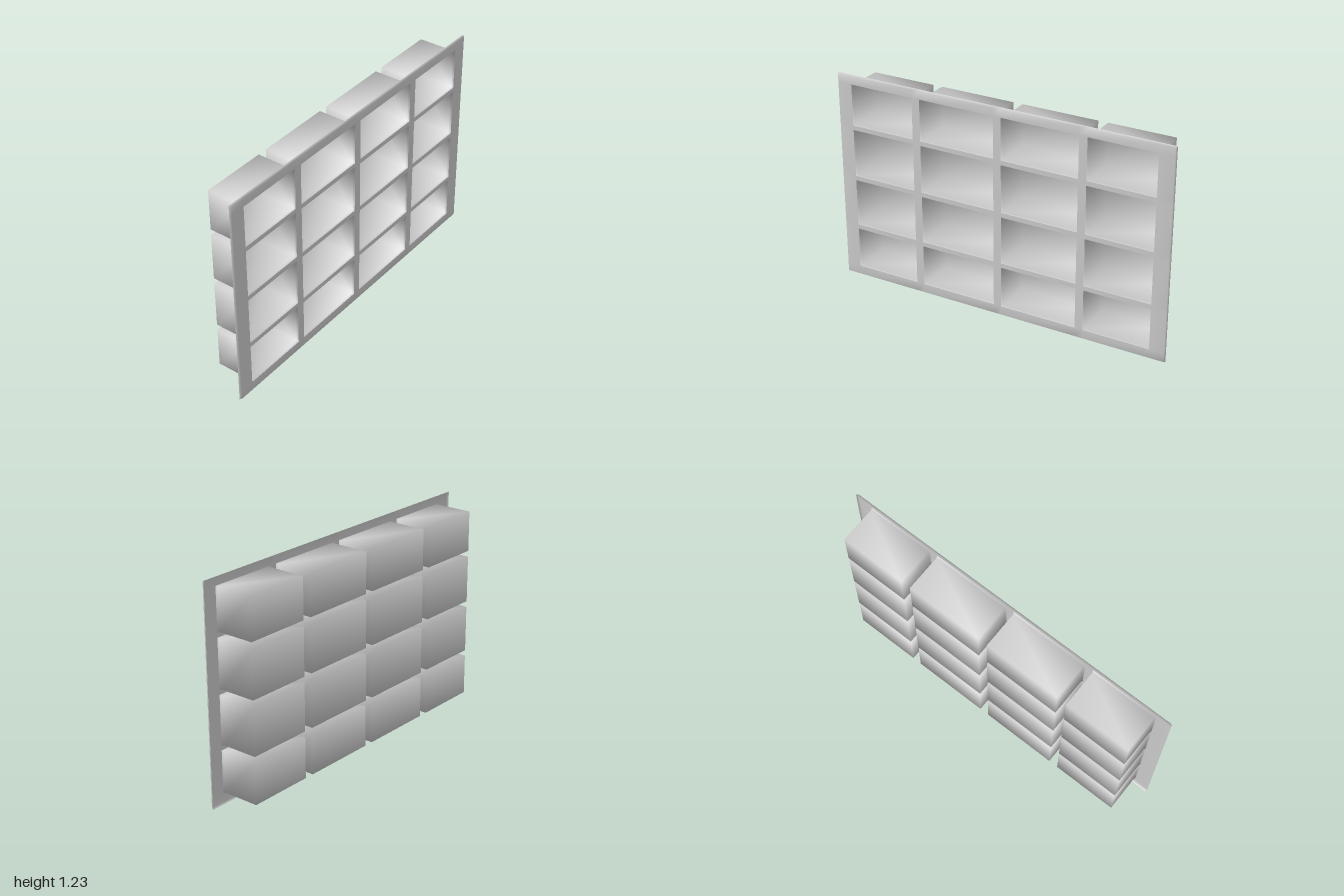
import * as THREE from 'three';

const FRONT = 0.112, LIP = 0.1, BACK = -0.112, HEIGHT = 1.23;
const FLARE = 0.004; // pocket mouths open slightly wider than their walls

// wall positions of the pocket columns and rows
const columns = [[-0.905, -0.525], [-0.47, -0.027], [0.027, 0.47], [0.525, 0.905]];
const rows = [[0.062, 0.295], [0.33, 0.6], [0.635, 0.905], [0.94, 1.173]];

const material = new THREE.MeshStandardMaterial({ color: 0xcccccc, side: THREE.DoubleSide });

function buildMesh(name, positions, indices) {
  const geometry = new THREE.BufferGeometry();
  geometry.setAttribute('position', new THREE.Float32BufferAttribute(positions, 3));
  geometry.setIndex(indices);
  geometry.computeVertexNormals();
  const mesh = new THREE.Mesh(geometry, material);
  mesh.name = name;
  return mesh;
}

// grid lines: outer lip, edge of the face, then both sides of each opening
function gridLines(min, max, spans) {
  const openings = spans.flatMap(([a, b]) => [a - FLARE, b + FLARE]);
  return [min, min + 0.006, ...openings, max - 0.006, max];
}

// thin face sheet with openings and a lip turned back around its edge
function createFrame() {
  const xs = gridLines(-1, 1, columns), ys = gridLines(0, HEIGHT, rows);
  const nx = xs.length, ny = ys.length;
  const positions = [], indices = [];
  for (let j = 0; j < ny; j++) {
    for (let i = 0; i < nx; i++) {
      const onLip = i === 0 || j === 0 || i === nx - 1 || j === ny - 1;
      positions.push(xs[i], ys[j], onLip ? LIP : FRONT);
    }
  }
  const isOpening = (k, n) => k >= 2 && k < n - 2 && k % 2 === 0;
  for (let j = 0; j < ny - 1; j++) {
    for (let i = 0; i < nx - 1; i++) {
      if (isOpening(i, nx - 1) && isOpening(j, ny - 1)) continue;
      const a = j * nx + i, b = a + 1, c = b + nx, d = a + nx;
      indices.push(a, b, c, a, c, d);
    }
  }
  return buildMesh('frame', positions, indices);
}

// open box: flared mouth, straight walls and a closed back, softly shaded
function createPocket([x0, x1], [y0, y1]) {
  const positions = [], indices = [];
  for (const [grow, z] of [[FLARE, FRONT], [0, LIP], [0, BACK]]) {
    positions.push(
      x0 - grow, y0 - grow, z, x1 + grow, y0 - grow, z,
      x1 + grow, y1 + grow, z, x0 - grow, y1 + grow, z);
  }
  for (let ring = 0; ring < 2; ring++) {
    for (let k = 0; k < 4; k++) {
      const a = ring * 4 + k, b = ring * 4 + (k + 1) % 4;
      indices.push(a, a + 4, b + 4, a, b + 4, b);
    }
  }
  indices.push(8, 11, 10, 8, 10, 9);
  return buildMesh('pocket', positions, indices);
}

export function createModel() {
  const model = new THREE.Group();
  model.name = 'compartmentTray';
  model.add(createFrame());

  const pockets = new THREE.Group();
  pockets.name = 'pockets';
  for (const row of rows) {
    for (const column of columns) pockets.add(createPocket(column, row));
  }
  model.add(pockets);
  return model;
}
